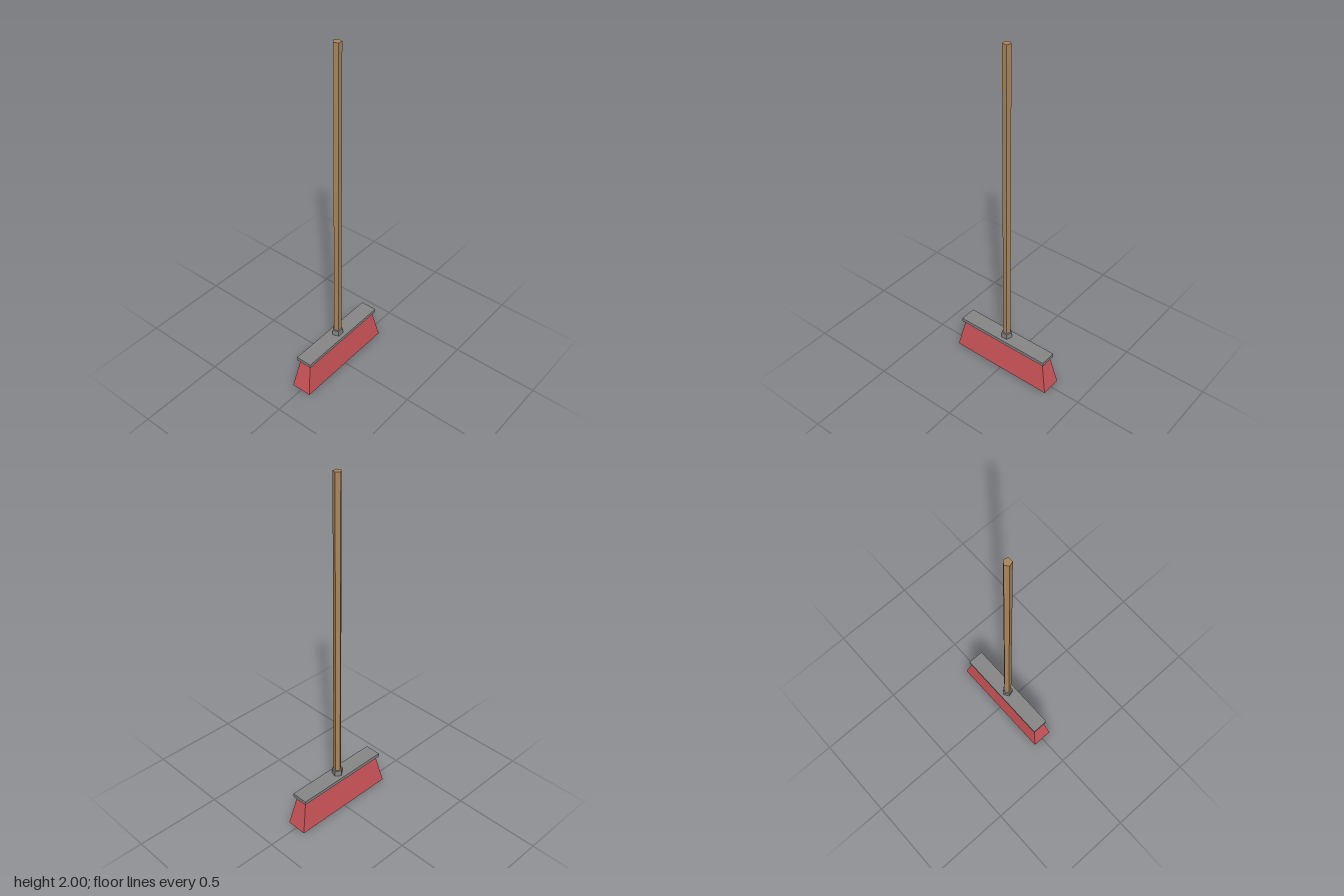
import * as THREE from 'three';

const material = (name, color) => {
  const m = new THREE.MeshStandardMaterial({ color, flatShading: true });
  m.name = name;
  return m;
};

export function createModel() {
  const wood = material('wood', 0xad875c);
  const grey = material('grey', 0x888888);
  const red = material('red', 0xcf555a);

  const group = new THREE.Group();
  group.name = 'broom';

  const add = (name, geometry, mat, bottom, top) => {
    const mesh = new THREE.Mesh(geometry, mat);
    mesh.name = name;
    mesh.position.y = (bottom + top) / 2;
    group.add(mesh);
  };

  // five-sided rod with a corner at the back and a flat face at the front
  const rod = (radius, bottom, top) =>
    new THREE.CylinderGeometry(radius, radius, top - bottom, 5).rotateY(Math.PI);

  // bristle block, narrowing towards the head
  const bristles = new THREE.BoxGeometry(0.634, 0.185, 0.119);
  const p = bristles.attributes.position;
  for (let i = 0; i < p.count; i++) {
    if (p.getY(i) > 0) {
      p.setX(i, Math.sign(p.getX(i)) * 0.275);
      p.setZ(i, Math.sign(p.getZ(i)) * 0.033);
    }
  }
  bristles.computeVertexNormals();
  add('bristles', bristles, red, 0, 0.185);

  // head plate, collar and long handle
  add('head', new THREE.BoxGeometry(0.58, 0.021, 0.095), grey, 0.184, 0.205);
  add('collar', rod(0.031, 0.205, 0.239), grey, 0.205, 0.239);
  add('handle', rod(0.022, 0.205, 2), wood, 0.205, 2);

  return group;
}
